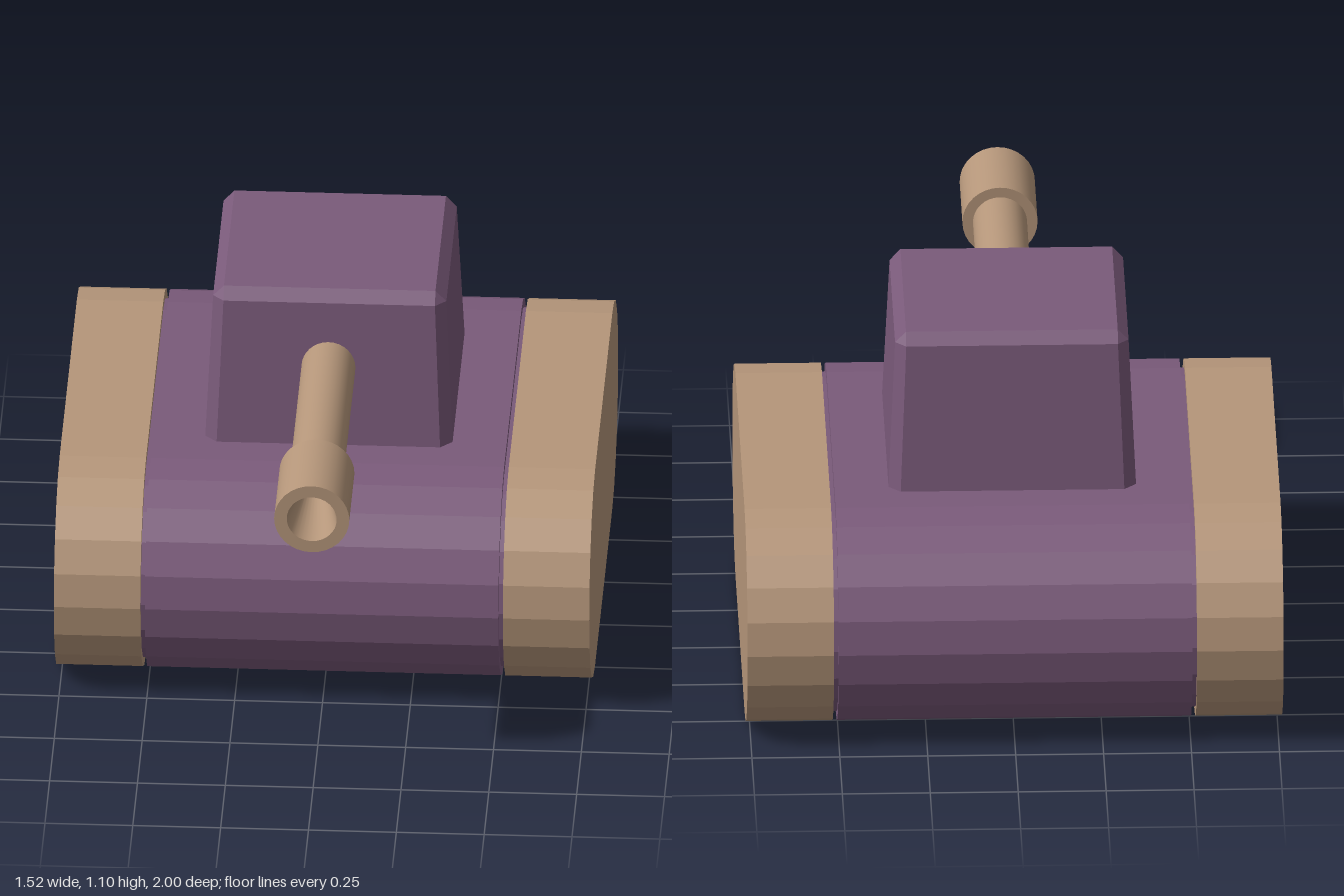
import * as THREE from 'three';
import { ConvexGeometry } from 'three/addons/geometries/ConvexGeometry.js';

const PURPLE = new THREE.MeshStandardMaterial({ color: 0x7a5a7a, flatShading: true });
const TAN = new THREE.MeshStandardMaterial({ color: 0xb5967a, flatShading: true });
const TAN_SMOOTH = new THREE.MeshStandardMaterial({ color: 0xb5967a, side: THREE.DoubleSide });

const R = 0.317;            // half height of the hull
const FRONT = 0.235;        // z of the front arc centre
const BACK = -0.684;        // z of the back arc centre
const STEPS = 10;           // facets per half round

// Faceted stadium profile in the z-y plane, extruded across x
function stadium(radius, width) {
  const pts = [];
  for (const [cz, start] of [[FRONT, -Math.PI / 2], [BACK, Math.PI / 2]]) {
    for (let i = 0; i <= STEPS; i++) {
      const a = start + (i / STEPS) * Math.PI;
      pts.push(new THREE.Vector2(cz + radius * Math.cos(a), R + radius * Math.sin(a)));
    }
  }
  const geo = new THREE.ExtrudeGeometry(new THREE.Shape(pts), { depth: width, bevelEnabled: false });
  geo.translate(0, 0, -width / 2);
  geo.rotateY(-Math.PI / 2);
  return geo;
}

// Corner points of a rectangle with cut corners at height y
function cutRect(hx, hz, cut, y) {
  const pts = [];
  for (const sx of [-1, 1]) {
    for (const sz of [-1, 1]) {
      pts.push(new THREE.Vector3(sx * (hx - cut), y, sz * hz));
      if (cut > 0) pts.push(new THREE.Vector3(sx * hx, y, sz * (hz - cut)));
    }
  }
  return pts;
}

// Straight-sided lathe with hard edges, turned to point along +z
function turned(profile) {
  const group = new THREE.Group();
  for (let i = 0; i < profile.length - 1; i++) {
    const seg = [profile[i], profile[i + 1]].map(([r, z]) => new THREE.Vector2(r, z));
    const geo = new THREE.LatheGeometry(seg, 32);
    geo.rotateX(Math.PI / 2);
    group.add(new THREE.Mesh(geo, TAN_SMOOTH));
  }
  return group;
}

export function createModel() {
  const model = new THREE.Group();
  const add = (name, object) => {
    object.name = name;
    model.add(object);
    return object;
  };

  // Hull, with a narrower core that forms the grooves beside the tracks
  add('hull', new THREE.Mesh(stadium(R, 1.006), PURPLE));
  add('hullCore', new THREE.Mesh(stadium(R - 0.026, 1.06), PURPLE));

  // Track blocks
  for (const [name, side] of [['leftTrack', 1], ['rightTrack', -1]]) {
    const track = add(name, new THREE.Mesh(stadium(R, 0.246), TAN));
    track.position.x = side * 0.639;
  }

  // Tapered turret with chamfered edges
  const turret = add('turret', new THREE.Mesh(new ConvexGeometry([
    ...cutRect(0.352, 0.355, 0.034, 0.632),
    ...cutRect(0.332, 0.309, 0.031, 1.067),
    ...cutRect(0.301, 0.28, 0, 1.1),
  ]), PURPLE));
  turret.position.set(-0.003, 0, -0.225);

  // Gun: thin barrel
  const barrel = add('barrel', turned([[0.077, 0.09], [0.077, 0.73]]));
  // Muzzle with a bore that narrows inwards
  const muzzle = add('muzzle', turned([
    [0.077, 0.725], [0.107, 0.725], [0.107, 1], [0.071, 1], [0.026, 0.74], [0.026, 0.1],
  ]));
  for (const part of [barrel, muzzle]) part.position.set(-0.004, 0.871, 0);

  return model;
}
